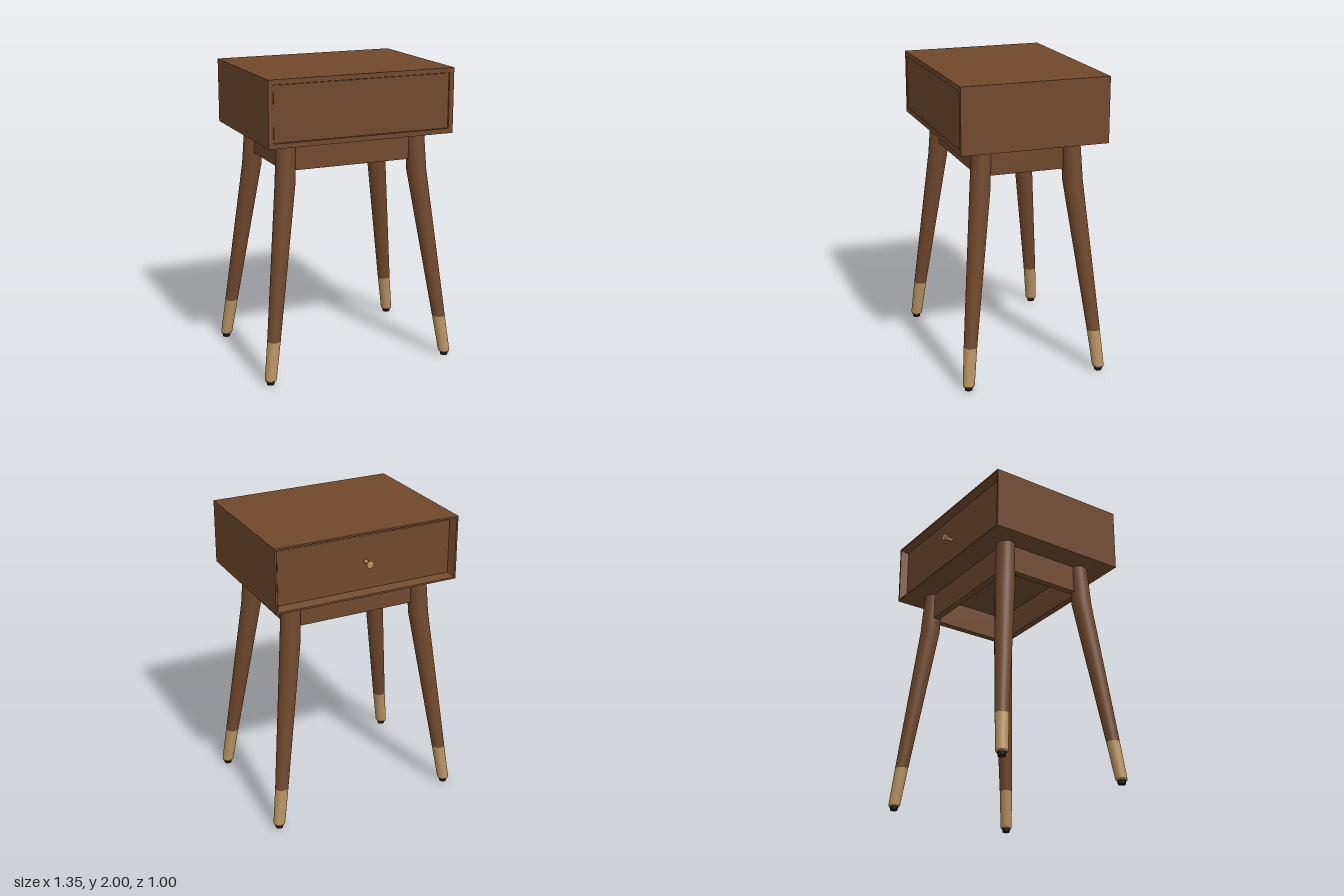
import * as THREE from 'three';

const wood = new THREE.MeshStandardMaterial({ color: 0x70482c });
wood.name = 'walnut wood';
const brass = new THREE.MeshStandardMaterial({ color: 0xb89360 });
brass.name = 'brass';
const rubber = new THREE.MeshStandardMaterial({ color: 0x1c1a19 });
rubber.name = 'black rubber';

// Skin between closed rings that all hold the same number of points
function loft(rings, smooth) {
  const n = rings[0].length, pos = rings.flat(2), index = [];
  for (let r = 0; r < rings.length - 1; r++) {
    for (let i = 0; i < n; i++) {
      const a = r * n + i, b = r * n + (i + 1) % n, c = a + n, d = b + n;
      index.push(a, c, b, b, c, d);
    }
  }
  let g = new THREE.BufferGeometry();
  g.setAttribute('position', new THREE.Float32BufferAttribute(pos, 3));
  g.setIndex(index);
  if (!smooth) g = g.toNonIndexed();
  g.computeVertexNormals();
  return g;
}

function createModel() {
  const model = new THREE.Group();
  const add = (parent, name, geometry, material, x = 0, y = 0, z = 0) => {
    const mesh = new THREE.Mesh(geometry, material);
    mesh.name = name;
    mesh.position.set(x, y, z);
    parent.add(mesh);
    return mesh;
  };
  const box = (parent, name, w, h, d, x, y, z) =>
    add(parent, name, new THREE.BoxGeometry(w, h, d), wood, x, y, z);

  // Cabinet shell: shallow recess in front, bevelled deep recess at the back
  const midY = 1.785, front = 0.495, back = -0.486;
  const rect = (hw, hh, z) => [[-hw, midY - hh, z], [hw, midY - hh, z], [hw, midY + hh, z], [-hw, midY + hh, z]];
  const shell = loft([
    rect(0.607, 0.183, front - 0.03),
    rect(0.607, 0.183, front),
    rect(0.64, 0.215, front),
    rect(0.64, 0.215, back),
    rect(0.628, 0.203, back),
    rect(0.607, 0.183, back + 0.045),
    rect(0.607, 0.183, back + 0.08),
  ], false);
  add(model, 'cabinetShell', shell, wood);
  box(model, 'cabinetCore', 1.22, 0.372, 0.88, 0, midY, 0.004);
  box(model, 'frontPanel', 1.208, 0.36, 0.05, 0, midY, front - 0.03);
  box(model, 'drawerFront', 1.206, 0.354, 0.05, 0, midY - 0.003, back + 0.073);

  // Flared drawer knob
  const knobProfile = [[0, 0], [0.016, 0], [0.011, 0.012], [0.01, 0.032], [0.019, 0.046], [0.025, 0.06], [0.024, 0.064], [0, 0.064]]
    .map(([r, y]) => new THREE.Vector2(r, y));
  const knob = add(model, 'drawerKnob', new THREE.LatheGeometry(knobProfile, 24), brass, 0, midY + 0.003, back + 0.048);
  knob.rotation.x = -Math.PI / 2;

  // Apron boards under the cabinet
  const apron = new THREE.Group();
  apron.name = 'apron';
  model.add(apron);
  for (const s of [-1, 1]) {
    box(apron, s > 0 ? 'frontApron' : 'backApron', 0.9, 0.194, 0.045, 0, 1.479, s * 0.305 + 0.004);
    box(apron, s > 0 ? 'leftApron' : 'rightApron', 0.045, 0.194, 0.6, s * 0.455, 1.479, 0.004);
  }

  // Splayed tapered legs: each ring is [y, centre x, centre z, radius]
  const woodRings = [[1.575, 0.457, 0.302, 0.063], [1.3, 0.47, 0.316, 0.067], [0.286, 0.603, 0.431, 0.044]];
  const tipRings = [[0.286, 0.603, 0.431, 0.044], [0.034, 0.638, 0.456, 0.039]];
  const endRings = [[0.034, 0.638, 0.456, 0.039], [0.024, 0.639, 0.457, 0.034], [0.024, 0.639, 0.457, 0.001]];
  const legPart = (rings, sx, sz) => loft(rings.map(([y, cx, cz, r]) =>
    Array.from({ length: 28 }, (_, i) => {
      const a = -i / 28 * Math.PI * 2;
      return [sx * cx + r * Math.cos(a), y, sz * cz + 0.004 + r * Math.sin(a)];
    })), true);

  for (const sz of [1, -1]) {
    for (const sx of [1, -1]) {
      const leg = new THREE.Group();
      leg.name = (sz > 0 ? 'front' : 'back') + (sx > 0 ? 'Left' : 'Right') + 'Leg';
      model.add(leg);
      add(leg, 'legShaft', legPart(woodRings, sx, sz), wood);
      add(leg, 'brassTip', legPart(tipRings, sx, sz), brass);
      add(leg, 'brassTipEnd', legPart(endRings, sx, sz), brass);
      add(leg, 'footGlide', new THREE.CylinderGeometry(0.028, 0.025, 0.026, 24), rubber, sx * 0.639, 0.013, sz * 0.457 + 0.004);
    }
  }
  return model;
}

export { createModel };
